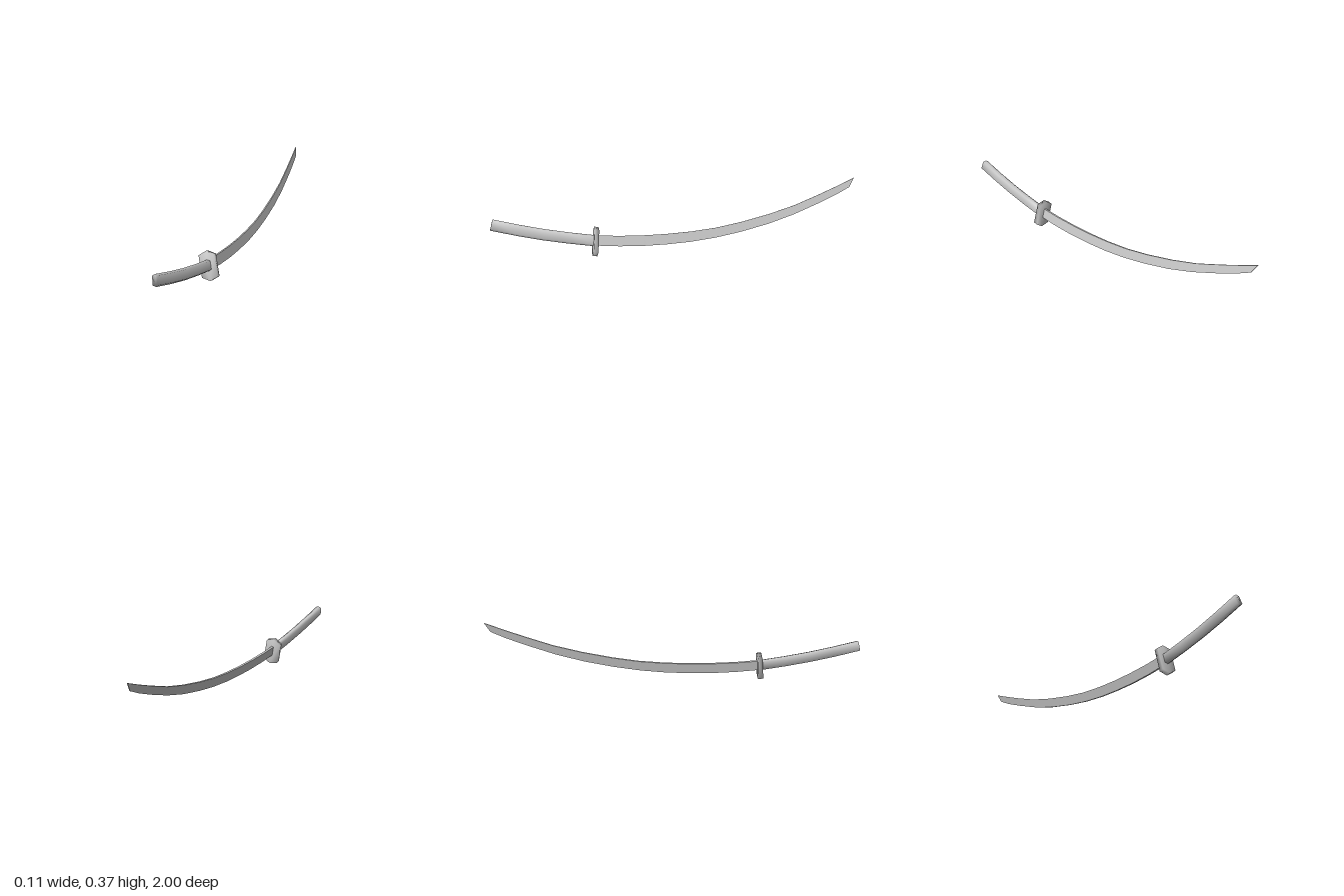
import * as THREE from 'three';
import { toCreasedNormals } from 'three/addons/utils/BufferGeometryUtils.js';

const TILT = Math.atan(0.2);

// Cross-sections, counter-clockwise: [side, height from bottom 0 to top 1]
const HEX = [[0, 0], [1, 0.125], [1, 0.875], [0, 1], [-1, 0.875], [-1, 0.125]];
const RECT = [[1, 0], [1, 1], [-1, 1], [-1, 0]];

// Lofts a section along stations [topZ, topY, bottomZ, bottomY, halfWidth], front to back
function loft(section, stations) {
  const pos = [], index = [], n = section.length, last = stations.length - 1;
  for (const [tz, ty, bz, by, w] of stations) {
    for (const [s, t] of section) {
      pos.push(s * w, (by + (ty - by) * t) / Math.cos(TILT), bz + (tz - bz) * t);
    }
  }
  for (let i = 0; i < last; i++) {
    for (let k = 0; k < n; k++) {
      const a = i * n + k, b = i * n + (k + 1) % n;
      index.push(a, a + n, b, b, a + n, b + n);
    }
  }
  for (let k = 1; k < n - 1; k++) {
    index.push(0, k, k + 1, last * n, last * n + k + 1, last * n + k);
  }
  const geo = new THREE.BufferGeometry();
  geo.setAttribute('position', new THREE.Float32BufferAttribute(pos, 3));
  geo.setIndex(index);
  geo.computeVertexNormals();
  return geo;
}

export function createModel() {
  const material = new THREE.MeshStandardMaterial({ color: 0xcccccc });
  const sword = new THREE.Group();
  sword.name = 'sword';
  const add = (name, geo) => {
    const mesh = new THREE.Mesh(geo, material);
    mesh.name = name;
    sword.add(mesh);
  };

  // Curved six-sided grip
  const gripW = 0.0168;
  add('handle', loft(HEX, [
    [0.986, 0.210, 1.0, 0.154, gripW],
    [0.85, 0.178, 0.862, 0.121, gripW],
    [0.72, 0.151, 0.73, 0.094, gripW],
    [0.59, 0.129, 0.598, 0.072, gripW],
    [0.45, 0.109, 0.455, 0.052, gripW],
  ]));

  // Elongated hexagonal plate, square to the grip
  add('guard', loft(HEX, [
    [0.46, 0.154, 0.474, 0.004, 0.043],
    [0.437, 0.151, 0.449, 0.0, 0.043],
  ]));

  // Long upswept blade, thinning towards the slanted tip
  const blade = [
    [0.46, 0.109, 0.46, 0.056],
    [0.33, 0.101, 0.33, 0.047],
    [0.2, 0.099, 0.2, 0.044],
    [0.08, 0.101, 0.075, 0.047],
    [-0.06, 0.109, -0.055, 0.055],
    [-0.2, 0.124, -0.19, 0.071],
    [-0.34, 0.149, -0.33, 0.096],
    [-0.5, 0.186, -0.49, 0.133],
    [-0.65, 0.229, -0.64, 0.179],
    [-0.8, 0.285, -0.79, 0.236],
    [-0.91, 0.329, -0.895, 0.28],
    [-1.0, 0.367, -0.97, 0.317],
  ];
  add('blade', toCreasedNormals(loft(RECT, blade.map((s, i) => [
    ...s, 0.0065 - 0.0043 * i / (blade.length - 1),
  ])), 0.6));

  // The sword leans sideways
  sword.rotation.z = TILT;
  sword.position.x = 0.0187;
  const model = new THREE.Group();
  model.name = 'curvedSword';
  model.add(sword);
  return model;
}
